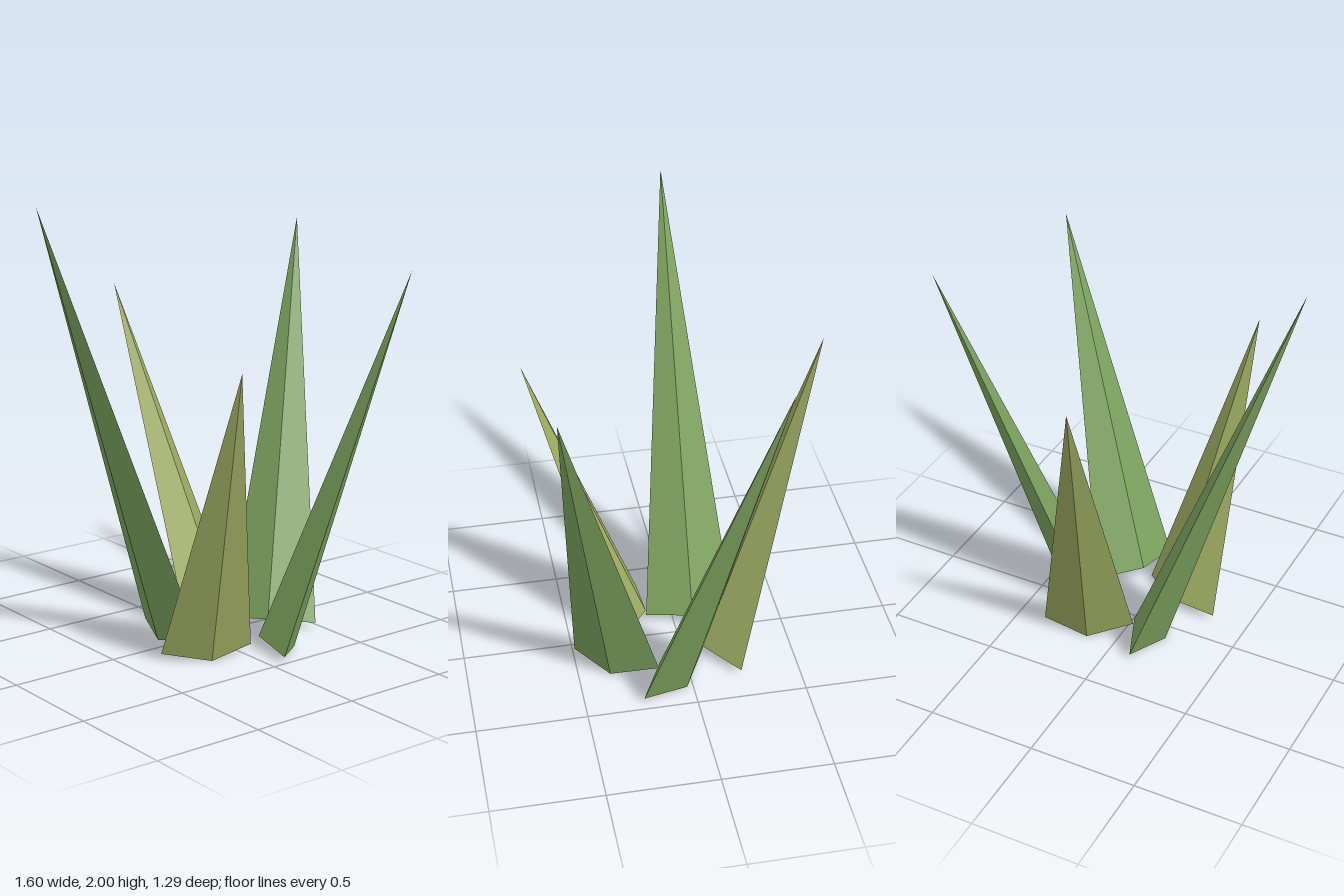
import * as THREE from 'three';

const TILT = 0.335;        // outward lean of every blade
const HALF_WIDTH = 0.207;  // half diagonal across the blade
const HALF_DEPTH = 0.085;  // half diagonal from inner to outer ridge

// Four-sided spike, leaning outwards, its base square to its own axis
function makeBlade(length, x, z, heading, material) {
  const geometry = new THREE.ConeGeometry(1, 1, 4, 1);
  geometry.translate(0, 0.5, 0);
  geometry.scale(HALF_WIDTH, length, HALF_DEPTH);
  geometry.rotateX(TILT);
  geometry.rotateY(heading);
  const blade = new THREE.Mesh(geometry, material);
  blade.position.set(x, HALF_DEPTH * Math.sin(TILT), z);
  return blade;
}

export function createModel() {
  const group = new THREE.Group();
  group.name = 'grassTuft';
  const green = new THREE.MeshStandardMaterial({ color: 0x7da35f, flatShading: true });
  const olive = new THREE.MeshStandardMaterial({ color: 0x9eab62, flatShading: true });

  // name, length, base x, base z, horizontal lean direction (x, z), material
  const blades = [
    ['leftSideBlade', 2.087, -0.115, -0.082, -1, 0, green],
    ['rightBackBlade', 1.875, 0.328, 0.08, 0.472, -0.4, green],
    ['rightFrontBlade', 1.748, 0.166, 0.315, 0.494, 0.287, green],
    ['backBlade', 1.588, 0.163, -0.159, -0.178, -0.486, olive],
    ['leftFrontBlade', 1.41, -0.142, 0.203, -0.158, 0.44, olive],
  ];
  for (const [name, length, x, z, dx, dz, material] of blades) {
    const blade = makeBlade(length, x, z, Math.atan2(dx, dz), material);
    blade.name = name;
    group.add(blade);
  }
  return group;
}
